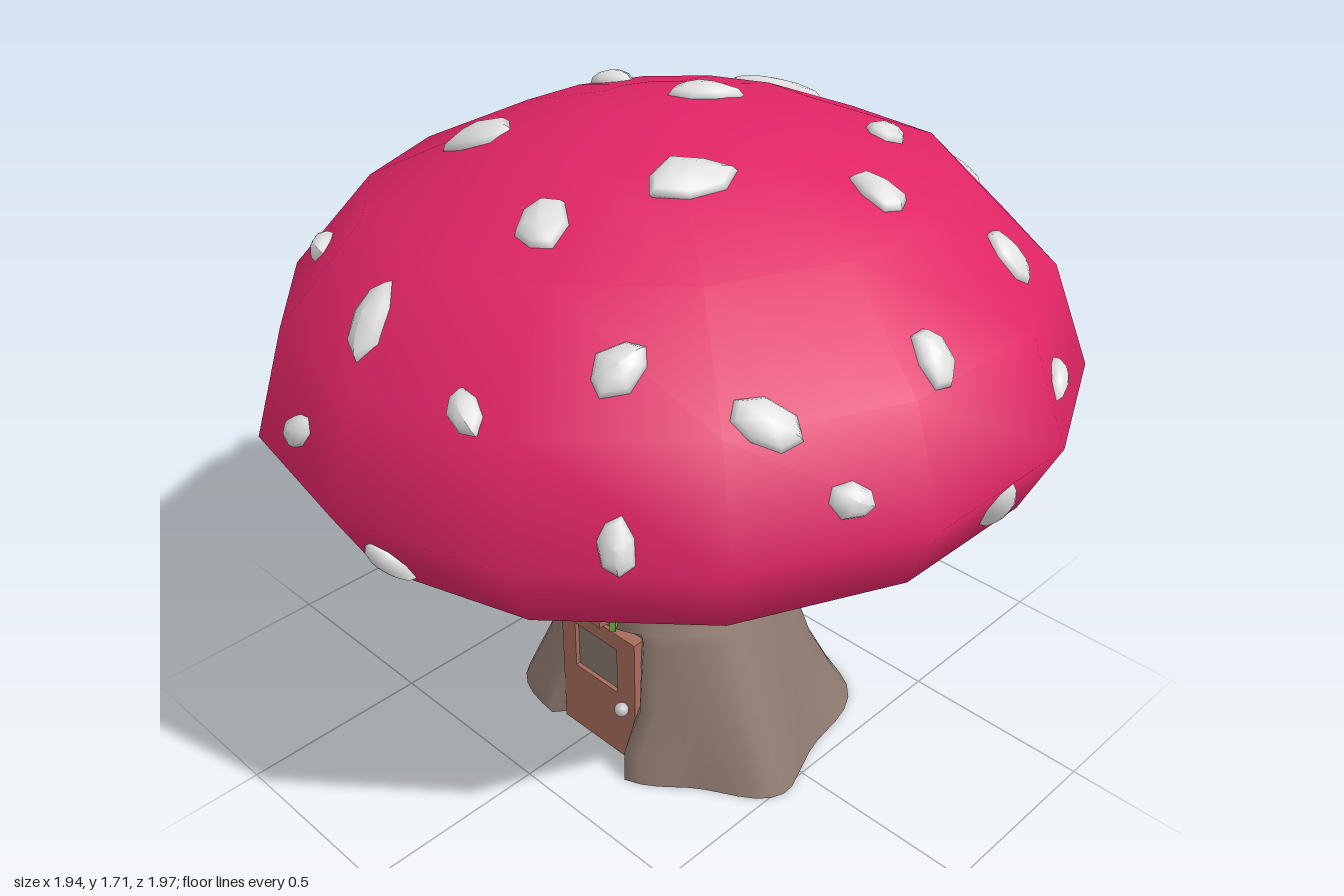
import * as THREE from 'three';

const mat = (name, color, side = THREE.FrontSide) => {
  const m = new THREE.MeshStandardMaterial({ color, side });
  m.name = name;
  return m;
};

export function createModel() {
  const red = mat('cap red', 0xe02565);
  const white = mat('spot white', 0xdedede);
  const bark = mat('stem brown', 0x8e7a6f, THREE.DoubleSide);
  const wood = mat('wood', 0xa86c5c);
  const green = mat('shutter green', 0x74a83e);
  const yellow = mat('pane yellow', 0xd2ac45);
  const glass = mat('door glass', 0x87786f, THREE.DoubleSide);
  const silver = mat('knob silver', 0xc4c4c4);

  const model = new THREE.Group();
  model.name = 'mushroomHouse';
  const add = (parent, name, geo, material, x = 0, y = 0, z = 0) => {
    const m = new THREE.Mesh(geo, material);
    m.name = name;
    m.position.set(x, y, z);
    parent.add(m);
    return m;
  };
  const box = (parent, name, material, x0, x1, y0, y1, z0, z1) =>
    add(parent, name, new THREE.BoxGeometry(x1 - x0, y1 - y0, z1 - z0), material,
      (x0 + x1) / 2, (y0 + y1) / 2, (z0 + z1) / 2);
  const lathe = (pts) => new THREE.LatheGeometry(pts.map(p => new THREE.Vector2(...p)), 14);

  // Tilted cap, 14 sides, with a hollow underside
  const cap = new THREE.Group();
  cap.name = 'cap';
  cap.position.set(0.02, 1.03, 0);
  cap.rotation.set(-0.025, 0, 0.08);
  model.add(cap);
  const dome = add(cap, 'capDome', lathe([[0.8, -0.195], [0.89, -0.16], [0.985, 0.01], [0.9, 0.26],
    [0.69, 0.48], [0.37, 0.61], [0.15, 0.655], [0, 0.66]]), red);
  add(cap, 'capUnderside', lathe([[0.25, -0.09], [0.45, -0.11], [0.8, -0.195]]), bark);

  // Stem: rings of [y, left, right, front, back] around a slightly offset centre
  const rings = [
    [0, -0.40, 0.50, 0.34, -0.45], [0.08, -0.36, 0.47, 0.33, -0.40], [0.2, -0.30, 0.42, 0.31, -0.34],
    [0.405, -0.24, 0.34, 0.305, -0.29], [0.43, -0.24, 0.325, 0.305, -0.275],
    [0.5, -0.24, 0.30, 0.275, -0.26], [0.62, -0.24, 0.295, 0.275, -0.24],
    [0.8, -0.30, 0.35, 0.33, -0.29], [0.92, -0.48, 0.53, 0.50, -0.48]];
  const SEG = 60, CX = 0.04, CZ = 0.02;
  const pos = [], idx = [];
  rings.forEach(([y, l, r, f, b], k) => {
    for (let i = 0; i < SEG; i++) {
      const t = i / SEG * Math.PI * 2, s = Math.sin(t), c = Math.cos(t);
      // root lobes fade out upward
      const lobe = 1 + 0.06 * Math.max(0, 1 - y / 0.4) * Math.cos(6 * (t - 2.36));
      const x = CX + s * lobe * (s > 0 ? r - CX : CX - l);
      let z = CZ + c * lobe * (c > 0 ? f - CZ : CZ - b);
      // recess behind the door
      if (y < 0.42 && Math.abs(x - 0.035) < 0.14) z = Math.min(z, 0.245);
      pos.push(x, y, z);
      if (k > 0) {
        const j = (i + 1) % SEG, a = (k - 1) * SEG, d = k * SEG;
        idx.push(a + i, a + j, d + j, a + i, d + j, d + i);
      }
    }
  });
  const stemGeo = new THREE.BufferGeometry();
  stemGeo.setAttribute('position', new THREE.Float32BufferAttribute(pos, 3));
  stemGeo.setIndex(idx);
  stemGeo.computeVertexNormals();
  add(model, 'stem', stemGeo, bark);

  // Door with a glazed opening and a knob
  const rect = (Type, x0, x1, y0, y1) => new Type([[x0, y0], [x1, y0], [x1, y1], [x0, y1]]
    .map(p => new THREE.Vector2(...p)));
  const doorShape = rect(THREE.Shape, -0.1, 0.17, 0, 0.395);
  doorShape.holes.push(rect(THREE.Path, -0.05, 0.105, 0.205, 0.345));
  const door = new THREE.Group();
  door.name = 'door';
  model.add(door);
  add(door, 'doorPanel', new THREE.ExtrudeGeometry(doorShape, { depth: 0.045, bevelEnabled: false }),
    wood, 0, 0, 0.235);
  box(door, 'doorGlass', glass, -0.05, 0.105, 0.205, 0.345, 0.26, 0.268);
  add(door, 'doorKnob', new THREE.SphereGeometry(0.019, 12, 8), silver, 0.135, 0.175, 0.295);

  // Window: leaning frame, four panes, sill
  const win = new THREE.Group();
  win.name = 'window';
  win.position.set(0.035, 0.52, 0.285);
  win.rotation.x = 0.1;
  model.add(win);
  for (const s of [-1, 1]) box(win, 'windowPost', wood, s * 0.1 - 0.015, s * 0.1 + 0.015, 0, 0.185, -0.05, 0.018);
  for (const y of [0, 0.162]) box(win, 'windowRail', wood, -0.115, 0.115, y, y + 0.023, -0.05, 0.016);
  box(win, 'windowMullion', wood, -0.01, 0.01, 0, 0.18, -0.02, 0.01);
  box(win, 'windowCrossbar', wood, -0.1, 0.1, 0.086, 0.102, -0.02, 0.01);
  for (const x of [-0.0475, 0.0475]) for (const y of [0.055, 0.133])
    box(win, 'windowPane', yellow, x - 0.04, x + 0.04, y - 0.032, y + 0.032, -0.006, 0.002);
  const sill = box(model, 'windowSill', wood, -0.09, 0.155, 0.497, 0.513, 0.25, 0.38);
  sill.rotation.x = -0.08;

  // Shutters swung open, hinged on the frame sides
  for (const [s, hx, dx] of [[-1, -0.08, 0.095], [1, 0.14, 0.072]]) {
    const hinge = new THREE.Group();
    hinge.name = s < 0 ? 'rightShutter' : 'leftShutter';
    hinge.position.set(hx, 0.615, 0.29);
    hinge.rotation.y = -s * Math.atan2(0.1, dx);
    model.add(hinge);
    const w = Math.hypot(dx, 0.1);
    box(hinge, 'shutterPanel', green, s > 0 ? 0 : -w, s > 0 ? w : 0, -0.085, 0.085, -0.007, 0.007);
    for (const y of [-0.05, 0.05])
      add(hinge, 'shutterHinge', new THREE.CylinderGeometry(0.009, 0.009, 0.035, 8), wood, 0, y, 0);
  }

  // Irregular flattened pebble, its length along local x
  let seed = 7;
  const rnd = () => (seed = (seed * 16807) % 2147483647) / 2147483647;
  const pebble = (len) => {
    const geo = new THREE.SphereGeometry(1, 7, 6);
    const jag = Array.from({ length: 7 }, () => 0.85 + 0.3 * rnd());
    const p = geo.attributes.position;
    for (let i = 0; i < p.count; i++) {
      const k = jag[(i % 8) % 7] * len / 2;
      p.setXYZ(i, p.getX(i) * k, p.getY(i) * 0.028, p.getZ(i) * k * 0.66);
    }
    geo.computeVertexNormals();
    return geo;
  };

  // Spots projected onto the dome along an axis: [across, up, length if not 0.145]
  const V = (x, y, z) => new THREE.Vector3(x, y, z);
  const spotSets = [
    [V(1, 0, 0), V(0, 0, 1), V(0, 1, 0), [[-0.1, -0.93], [-0.43, -0.71], [-0.78, -0.51], [0.26, -0.76, 0.17],
      [0.58, -0.77], [-0.12, -0.5, 0.23], [-0.56, -0.35], [0.33, -0.38], [0.71, -0.34], [-0.33, -0.15, 0.12],
      [0.02, -0.1, 0.17], [0.53, -0.1], [-0.75, 0.01], [0.83, 0.09], [-0.3, 0.29, 0.2], [0.29, 0.22, 0.19],
      [0.14, 0.49, 0.17], [0.48, 0.6], [0.73, 0.47]]],
    [V(1, 0, 0), V(0, 1, 0), V(0, 0, 1), [[-0.52, 1.36, 0.12], [-0.81, 1.12, 0.18], [-0.07, 1.41, 0.18],
      [0.27, 1.35, 0.11], [0.6, 1.16, 0.12], [-0.2, 1.14, 0.12], [-0.61, 0.94], [0.1, 0.965, 0.13]]],
    [V(1, 0, 0), V(0, 1, 0), V(0, 0, -1), [[0.25, 0.94], [-0.4, 0.87, 0.11]]],
    [V(0, 0, 1), V(0, 1, 0), V(1, 0, 0), [[-0.3, 1.22, 0.11], [0.36, 1.21, 0.11], [-0.03, 1.055]]],
    [V(0, 0, 1), V(0, 1, 0), V(-1, 0, 0), [[0.04, 0.925]]],
  ];
  const spotGroup = new THREE.Group();
  spotGroup.name = 'capSpots';
  model.add(spotGroup);
  model.updateMatrixWorld(true);
  const ray = new THREE.Raycaster();
  for (const [u, v, w, spots] of spotSets) for (const [a, b, len = 0.145] of spots) {
    ray.set(w.clone().multiplyScalar(3).addScaledVector(u, a).addScaledVector(v, b), w.clone().negate());
    const hit = ray.intersectObject(dome)[0];
    const n = hit.face.normal.clone().transformDirection(dome.matrixWorld);
    const ang = Math.PI * rnd();
    const x = u.clone().multiplyScalar(Math.cos(ang)).addScaledVector(v, Math.sin(ang));
    x.addScaledVector(n, -x.dot(n)).normalize();
    const spot = add(spotGroup, 'spot', pebble(len), white, ...hit.point.toArray());
    spot.quaternion.setFromRotationMatrix(new THREE.Matrix4().makeBasis(x, n, x.clone().cross(n)));
  }
  return model;
}
